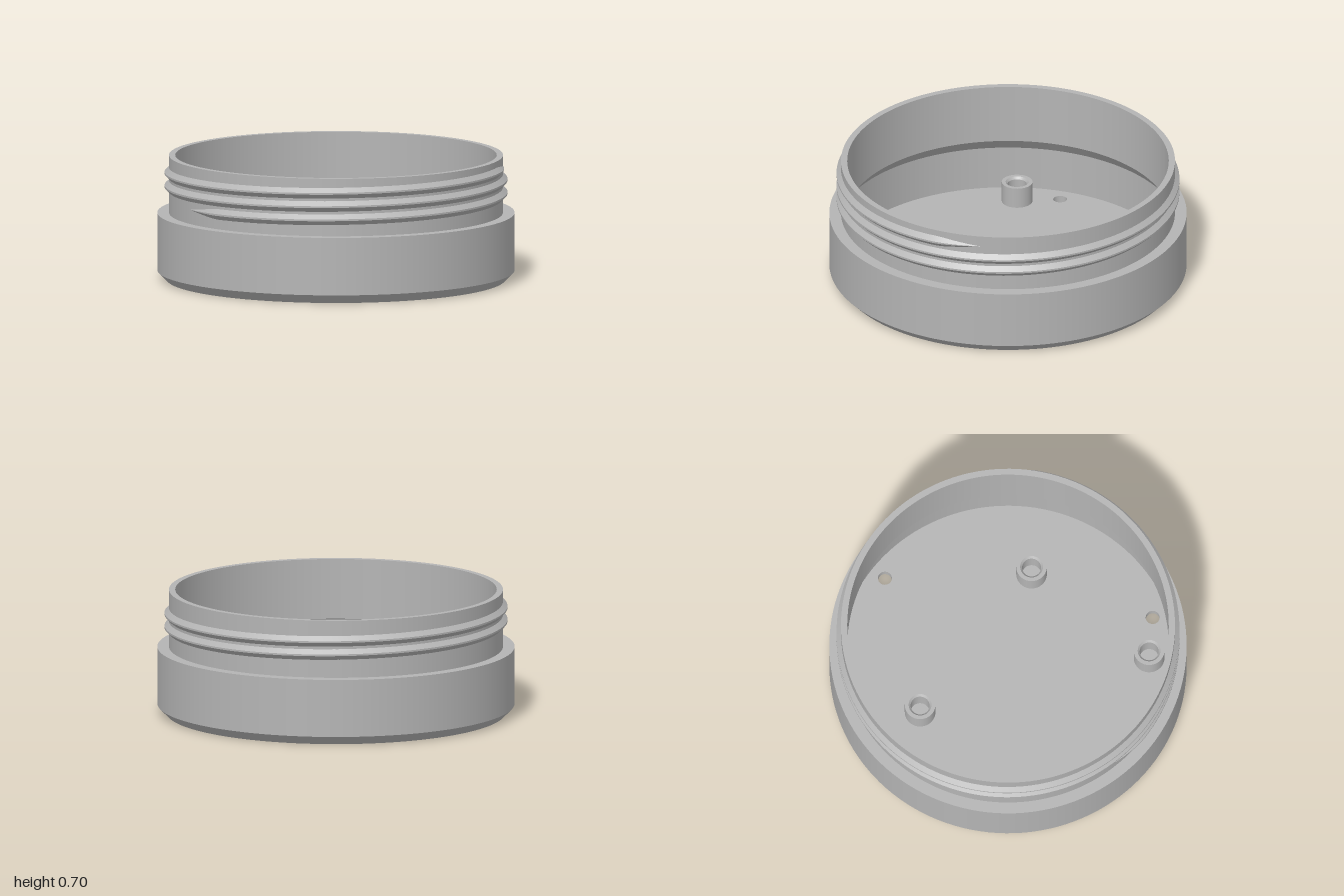
import * as THREE from 'three';
import { mergeGeometries, toCreasedNormals } from 'three/addons/utils/BufferGeometryUtils.js';

const SEGMENTS = 128;
const FLOOR = 0.04;

// Revolve a profile with crisp edges: one band per straight segment
function revolve(points, segments = SEGMENTS) {
  const bands = [];
  for (let i = 0; i < points.length - 1; i++) {
    const pair = [points[i], points[i + 1]].map(([r, y]) => new THREE.Vector2(r, y));
    bands.push(new THREE.LatheGeometry(pair, segments));
  }
  return mergeGeometries(bands);
}

// Flat disc with round drain holes
function piercedDisc(radius, holes, holeRadius) {
  const shape = new THREE.Shape().absarc(0, 0, radius, 0, Math.PI * 2, false);
  for (const [x, z] of holes) {
    shape.holes.push(new THREE.Path().absarc(x, -z, holeRadius, 0, Math.PI * 2, true));
  }
  return new THREE.ShapeGeometry(shape, SEGMENTS / 2);
}

// Helical ridge that tapers to a point at both ends
function threadGeometry() {
  const start = -0.33, end = Math.PI * 4.75, steps = 360, taper = 0.28;
  const root = 0.932, depth = 0.028, pitch = 0.075;
  const section = [[0, -0.033], [1, -0.005], [1, 0.005], [0, 0.033]];
  const position = [], index = [];
  for (let i = 0; i <= steps; i++) {
    const a = start + (end - start) * i / steps;
    const s = Math.max(0.002, Math.min(1, (a - start) / taper, (end - a) / taper));
    const mid = 0.46 + pitch * a / (Math.PI * 2);
    for (const [out, dy] of section) {
      const r = root + out * depth * s;
      position.push(-Math.cos(a) * r, mid + dy * s, Math.sin(a) * r);
    }
    if (i === steps) break;
    for (let j = 0; j < 3; j++) {
      const p = i * 4 + j, q = p + 4;
      index.push(p, q, p + 1, q, q + 1, p + 1);
    }
  }
  const g = new THREE.BufferGeometry();
  g.setAttribute('position', new THREE.Float32BufferAttribute(position, 3));
  g.setIndex(index);
  return toCreasedNormals(g, 0.4);
}

export function createModel() {
  const group = new THREE.Group();
  const grey = new THREE.MeshStandardMaterial({ color: 0xb4b4b4 });
  grey.name = 'grey plastic';
  const add = (name, geometry, x = 0, z = 0) => {
    const mesh = new THREE.Mesh(geometry, grey);
    mesh.name = name;
    mesh.position.set(x, 0, z);
    group.add(mesh);
  };

  // Cup wall: chamfered foot, shoulder, neck, rim and undercut interior
  add('wall', revolve([
    [0.95, 0], [1, 0.05], [1, 0.375], [0.935, 0.375], [0.935, 0.7],
    [0.9, 0.7], [0.9, 0.36], [0.955, 0.29], [0.955, FLOOR],
  ]));
  add('thread', threadGeometry());

  // Floor plate with three through holes
  const holes = [[0.865, 0], [-0.47, 0.72], [-0.47, -0.72]];
  const holeRadius = 0.039;
  add('floor', piercedDisc(0.955, holes, holeRadius).rotateX(-Math.PI / 2).translate(0, FLOOR, 0));
  add('underside', piercedDisc(0.95, holes.map(([x, z]) => [x, -z]), holeRadius).rotateX(Math.PI / 2));
  for (const [x, z] of holes) {
    add('holeWall', revolve([[holeRadius, FLOOR], [holeRadius, 0]], 32), x, z);
  }

  // Four countersunk screw posts
  const post = revolve([
    [0.086, FLOOR], [0.086, 0.16], [0.064, 0.16], [0.053, 0.147], [0.053, FLOOR],
  ], 40);
  for (const x of [-0.6, 0.226]) {
    for (const z of [-0.516, 0.516]) add('screwPost', post, x, z);
  }
  return group;
}
